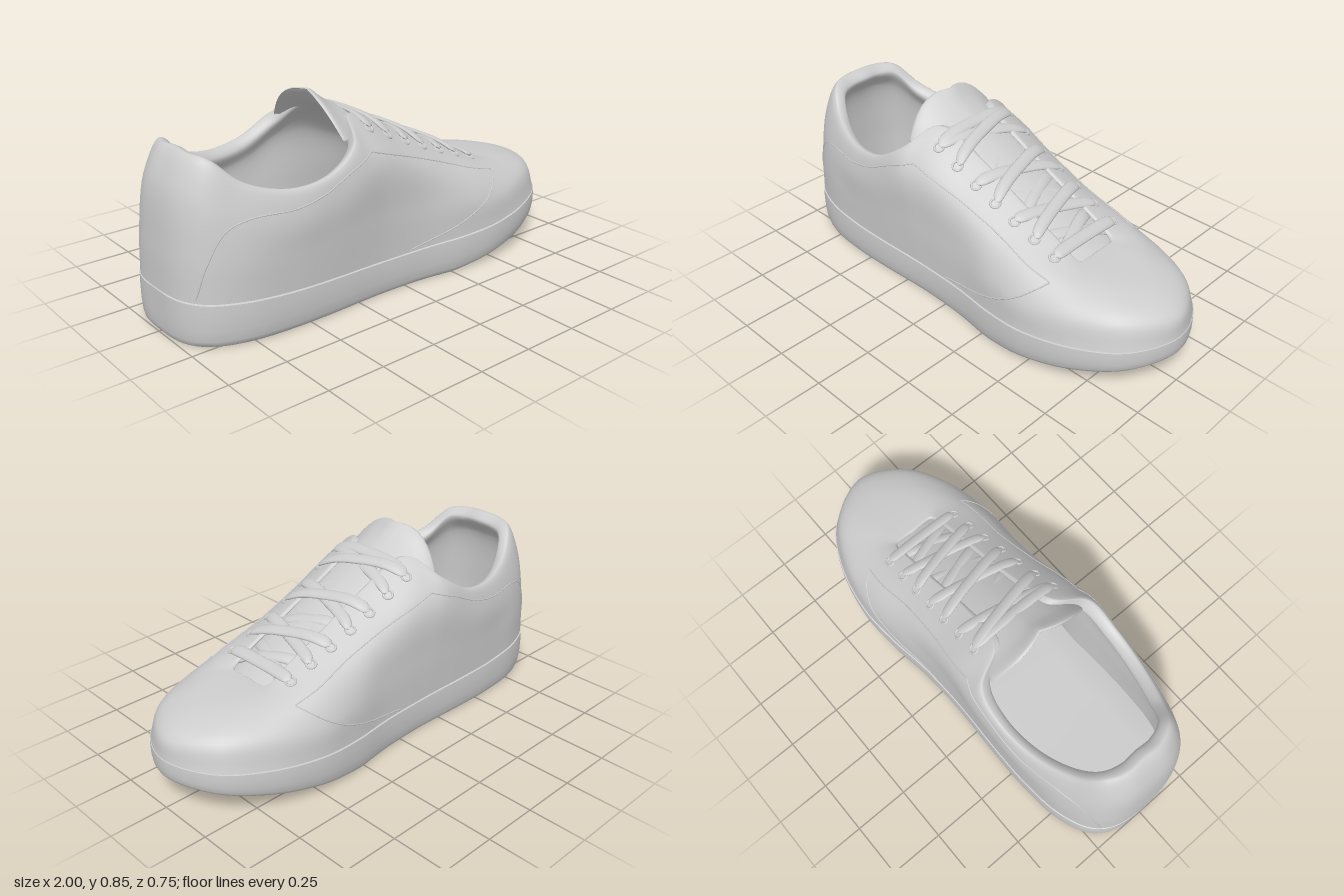
import * as THREE from 'three';
import { toCreasedNormals } from 'three/addons/utils/BufferGeometryUtils.js';

const V = (x, y, z) => new THREE.Vector3(x, y, z);
const lerp = THREE.MathUtils.lerp;

// Skin over rows of points; every row is a closed ring
function loft(rows) {
  const n = rows[0].length, pos = [], idx = [];
  rows.forEach(r => r.forEach(p => pos.push(p.x, p.y, p.z)));
  for (let i = 0; i < rows.length - 1; i++) {
    for (let j = 0; j < n; j++) {
      const a = i * n + j, b = i * n + (j + 1) % n;
      idx.push(a, b, b + n, a, b + n, a + n);
    }
  }
  const g = new THREE.BufferGeometry();
  g.setAttribute('position', new THREE.Float32BufferAttribute(pos, 3));
  g.setIndex(idx);
  g.computeVertexNormals();
  return g;
}

// Half rails run from the heel centre along the left side to the toe centre
const BASE = [[-1, .188, 0], [-.982, .187, .155], [-.92, .184, .243], [-.78, .178, .305], [-.58, .168, .328],
  [-.38, .162, .328], [-.22, .158, .322], [-.1, .155, .32], [.1, .157, .33], [.32, .165, .36],
  [.5, .178, .366], [.72, .2, .32], [.905, .216, .208], [.995, .224, 0]];
const LOW = [[-.995, .36, 0], [-.977, .36, .145], [-.92, .36, .232], [-.78, .34, .304], [-.58, .32, .333],
  [-.38, .33, .338], [-.22, .37, .333], [-.1, .36, .324], [.1, .34, .324], [.3, .32, .348],
  [.48, .3, .352], [.69, .315, .297], [.875, .322, .185], [.975, .31, 0]];
const HIGH = [[-.965, .6, 0], [-.952, .6, .118], [-.9, .58, .205], [-.77, .5, .285], [-.57, .46, .335],
  [-.38, .49, .343], [-.23, .565, .337], [-.13, .6, .31], [.08, .53, .288], [.28, .455, .285],
  [.46, .41, .276], [.64, .388, .21], [.76, .384, .125], [.85, .372, 0]];
const EDGE = [[-.89, .73, 0], [-.89, .725, .09], [-.85, .712, .175], [-.745, .62, .245], [-.57, .57, .3],
  [-.4, .59, .318], [-.26, .675, .292], [-.18, .755, .16], [.05, .658, .12], [.25, .565, .12],
  [.47, .463, .12], [.565, .414, .11], [.575, .41, .06], [.575, .41, 0]];

// Move a rail towards the middle of the shoe to make the lining
const inset = (rail, f, drop) => rail.map(([x, y, z], i) => {
  const d = (i < 2 ? .055 : i < 7 ? .047 : i === 7 ? .035 : .015) * f;
  const dx = THREE.MathUtils.clamp(x, -.6, .5) - x, len = Math.hypot(dx, z) || 1;
  return [x + dx / len * d, y - drop * (i < 7 ? 1 : .3), z - z / len * d];
});
const railCurve = half => {
  const pts = half.map(p => V(...p));
  const back = pts.slice(1, -1).reverse().map(p => V(p.x, p.y, -p.z));
  return new THREE.CatmullRomCurve3([...pts, ...back], true);
};
const AROUND = 182;
const ringOf = curve => Array.from({ length: AROUND }, (_, j) => curve.getPoint(j / AROUND));

function upperGeometry() {
  const rails = [BASE, LOW, HIGH, EDGE, inset(EDGE, .5, .004), inset(EDGE, 1, .035),
    inset(HIGH, 1, 0), inset(LOW, 1, 0), inset(BASE, 1, 0)].map(h => ringOf(railCurve(h)));
  const steps = 48;
  const rows = Array.from({ length: steps + 1 }, () => []);
  for (let j = 0; j < AROUND; j++) {
    const profile = new THREE.CatmullRomCurve3(rails.map(r => r[j]));
    rows.forEach((row, i) => row.push(profile.getPoint(i / steps)));
  }
  return loft(rows);
}

function soleGeometry() {
  const bottom = x => x < .25 ? 0 : .14 * Math.pow((x - .25) / .75, 1.3);
  // x factor, z factor, height fraction from ground to top rim
  const rows = [[.99, 0, 0], [.99, .5, 0], [.99, .955, 0], [.996, .978, .04], [1, .995, .14],
    [1.003, 1.013, .4], [1.003, 1.018, .75], [1.002, 1.012, .97], [.99, .98, 1], [.97, .5, 1], [.97, 0, 1]];
  const outline = ringOf(railCurve(BASE));
  const g = loft(rows.map(([kx, kz, f]) => outline.map(p =>
    V(Math.max(-1, p.x * kx), lerp(bottom(p.x), p.y, f), p.z * kz))));
  return toCreasedNormals(g, .7);
}

function tongueGeometry() {
  // centre x, centre y, half width, side droop, half thickness
  const st = [[-.272, .842, .238, .16, .001], [-.262, .836, .242, .155, .01], [-.2, .785, .22, .11, .014],
    [-.1, .728, .17, .045, .014], [.1, .625, .15, .03, .012], [.35, .5, .14, .025, .01], [.6, .375, .13, .02, .006]];
  const c1 = new THREE.CatmullRomCurve3(st.map(s => V(s[0], s[1], s[2])));
  const c2 = new THREE.CatmullRomCurve3(st.map(s => V(s[3], s[4], 0)));
  const rows = [];
  for (let i = 0; i <= 36; i++) {
    const p = c1.getPoint(i / 36), q = c2.getPoint(i / 36);
    rows.push(Array.from({ length: 40 }, (_, j) => {
      const a = j / 40 * Math.PI * 2, s = -Math.cos(a), k = Math.abs(s);
      return V(p.x - .11 * k * (1 - k) * q.x / .16, p.y - q.x * Math.pow(k, 2.5) + q.y * Math.sin(a), p.z * s);
    }));
  }
  return loft(rows);
}

// Flat lace arching from a left point to a right point
function laceGeometry(from, to, rise) {
  const along = V(.9, -.43, 0), up = V(.43, .9, 0), rows = [];
  for (let i = 0; i <= 28; i++) {
    const t = i / 28, s = 2 * t - 1;
    const p = from.clone().lerp(to, t);
    const crest = .668 - .47 * p.x + rise;
    p.y = lerp(p.y, crest, 1 - Math.pow(Math.abs(s), 3));
    const k = Math.sqrt(Math.max(0, 1 - Math.pow(s, 12)));
    rows.push(Array.from({ length: 14 }, (_, j) => {
      const a = j / 14 * Math.PI * 2;
      return p.clone().addScaledVector(along, -Math.cos(a) * .028 * k).addScaledVector(up, Math.sin(a) * .011 * k);
    }));
  }
  return loft(rows);
}

export function createModel() {
  const grey = new THREE.MeshStandardMaterial({ color: 0xcccccc, side: THREE.DoubleSide });
  grey.name = 'lightGrey';
  const model = new THREE.Group();
  model.name = 'shoe';
  const add = (name, geometry, parent = model) => {
    const m = new THREE.Mesh(geometry, grey);
    m.name = name;
    parent.add(m);
    return m;
  };
  const group = name => {
    const g = new THREE.Group();
    g.name = name;
    model.add(g);
    return g;
  };

  add('sole', soleGeometry());
  const upper = add('upper', upperGeometry());
  add('tongue', tongueGeometry());

  const ray = new THREE.Raycaster();
  const hit = (origin, dir) => {
    ray.set(origin, dir);
    return ray.intersectObject(upper)[0];
  };

  // Seams bounding the side panels
  const seams = group('seams');
  const seamLines = [
    [[-.95, .2], [-.91, .34], [-.84, .46], [-.75, .495], [-.56, .5], [-.43, .53], [-.3, .59], [-.18, .635]],
    [[-.18, .635], [0, .575], [.2, .505], [.42, .425], [.55, .388]],
    [[.55, .388], [.45, .31], [.33, .245], [.2, .2], [.02, .165]]];
  for (const side of [1, -1]) {
    for (const line of seamLines) {
      const path = new THREE.CatmullRomCurve3(line.map(([x, y]) => V(x, y, 0)));
      const pts = path.getPoints(40)
        .map(p => hit(V(p.x, p.y, side * 2), V(0, 0, -side)))
        .filter(h => h && h.point.z * side > 0).map(h => h.point);
      if (pts.length > 2) add('seam', new THREE.TubeGeometry(new THREE.CatmullRomCurve3(pts), 60, .003, 6), seams);
    }
  }

  // Eyelets and the points where laces enter them
  const eyelets = group('eyelets');
  const ends = [1, -1].map(side => Array.from({ length: 7 }, (_, i) => {
    const x = -.12 + i * .103, z = side * (.21 - i * .005);
    const h = hit(V(x, 2, z), V(0, -1, 0));
    const normal = h.face.normal.clone();
    const ring = add('eyelet', new THREE.TorusGeometry(.02, .005, 8, 20), eyelets);
    ring.position.copy(h.point);
    ring.quaternion.setFromUnitVectors(V(0, 0, 1), normal);
    return h.point.clone().addScaledVector(normal, .008);
  }));

  // Laces: crosses on top, crosses tucked below, and a straight bar at each end
  const laces = group('laces');
  const [left, right] = ends;
  for (let i = 0; i < 6; i++) {
    if (i % 2 === 0) {
      add('lace', laceGeometry(left[i], right[i + 1], .016), laces);
      add('lace', laceGeometry(left[i + 1], right[i], .03), laces);
    } else {
      const tuck = p => V(p.x, .638 - .47 * p.x, Math.sign(p.z) * .14);
      add('lowerLace', laceGeometry(tuck(left[i]), tuck(right[i + 1]), -.005), laces);
      add('lowerLace', laceGeometry(tuck(left[i + 1]), tuck(right[i]), .003), laces);
    }
  }
  add('lace', laceGeometry(left[6], right[6], .022), laces);
  add('lace', laceGeometry(left[0], right[0], .022), laces);
  return model;
}
